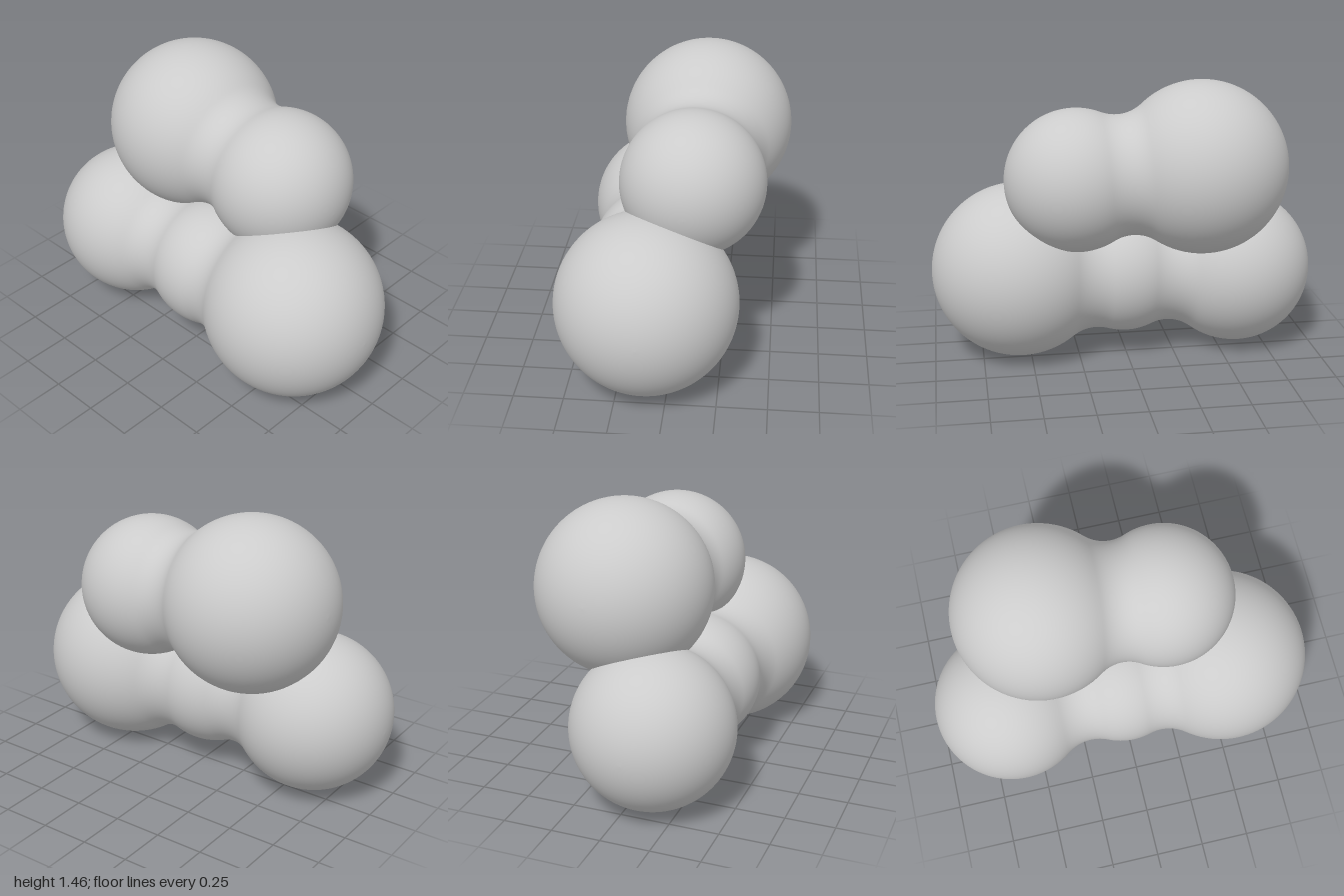
import * as THREE from 'three';

// Each chain is a row of balls [position along axis, radius] joined by concave fillets.
function chainProfile(balls, fillet) {
  const points = [];
  const arc = (from, to, steps, at) => {
    for (let i = points.length ? 1 : 0; i <= steps; i++) {
      const [r, t] = at(from + ((to - from) * i) / steps);
      points.push(new THREE.Vector2(Math.max(r, 0), t));
    }
  };
  let start = 0;
  balls.forEach(([c, R], i) => {
    const next = balls[i + 1];
    const onBall = (a) => [R * Math.sin(a), c - R * Math.cos(a)];
    if (!next) {
      arc(start, Math.PI, 36, onBall);
      return;
    }
    // centre of the fillet circle that touches both neighbouring balls
    const d = next[0] - c, p = R + fillet, q = next[1] + fillet;
    const along = (d * d + p * p - q * q) / (2 * d);
    const h = Math.sqrt(p * p - along * along);
    arc(start, Math.atan2(h, -along), 32, onBall);
    arc(-Math.atan2(along, h), Math.atan2(d - along, h), 16,
      (a) => [h - fillet * Math.cos(a), c + along + fillet * Math.sin(a)]);
    start = Math.atan2(h, d - along);
  });
  return points;
}

function makeChain(name, from, to, radii, middles, fillet, material) {
  const axis = to.clone().sub(from);
  const stops = [0, ...middles, axis.length()];
  const profile = chainProfile(stops.map((t, i) => [t, radii[i]]), fillet);
  const mesh = new THREE.Mesh(new THREE.LatheGeometry(profile, 96), material);
  mesh.name = name;
  mesh.position.copy(from);
  mesh.quaternion.setFromUnitVectors(new THREE.Vector3(0, 1, 0), axis.normalize());
  return mesh;
}

export function createModel() {
  const group = new THREE.Group();
  group.name = 'blobCluster';
  const material = new THREE.MeshStandardMaterial({ color: 0xcccccc });

  // lower row: three merged balls
  group.add(makeChain('lowerBalls',
    new THREE.Vector3(-0.595, 0.422, 0.108), new THREE.Vector3(0.547, 0.455, 0.108),
    [0.405, 0.337, 0.453], [0.595], 0.22, material));

  // upper row: two merged balls, set further back
  group.add(makeChain('upperBalls',
    new THREE.Vector3(-0.365, 1.029, -0.127), new THREE.Vector3(0.265, 0.975, -0.095),
    [0.437, 0.36], [], 0.2, material));

  return group;
}
